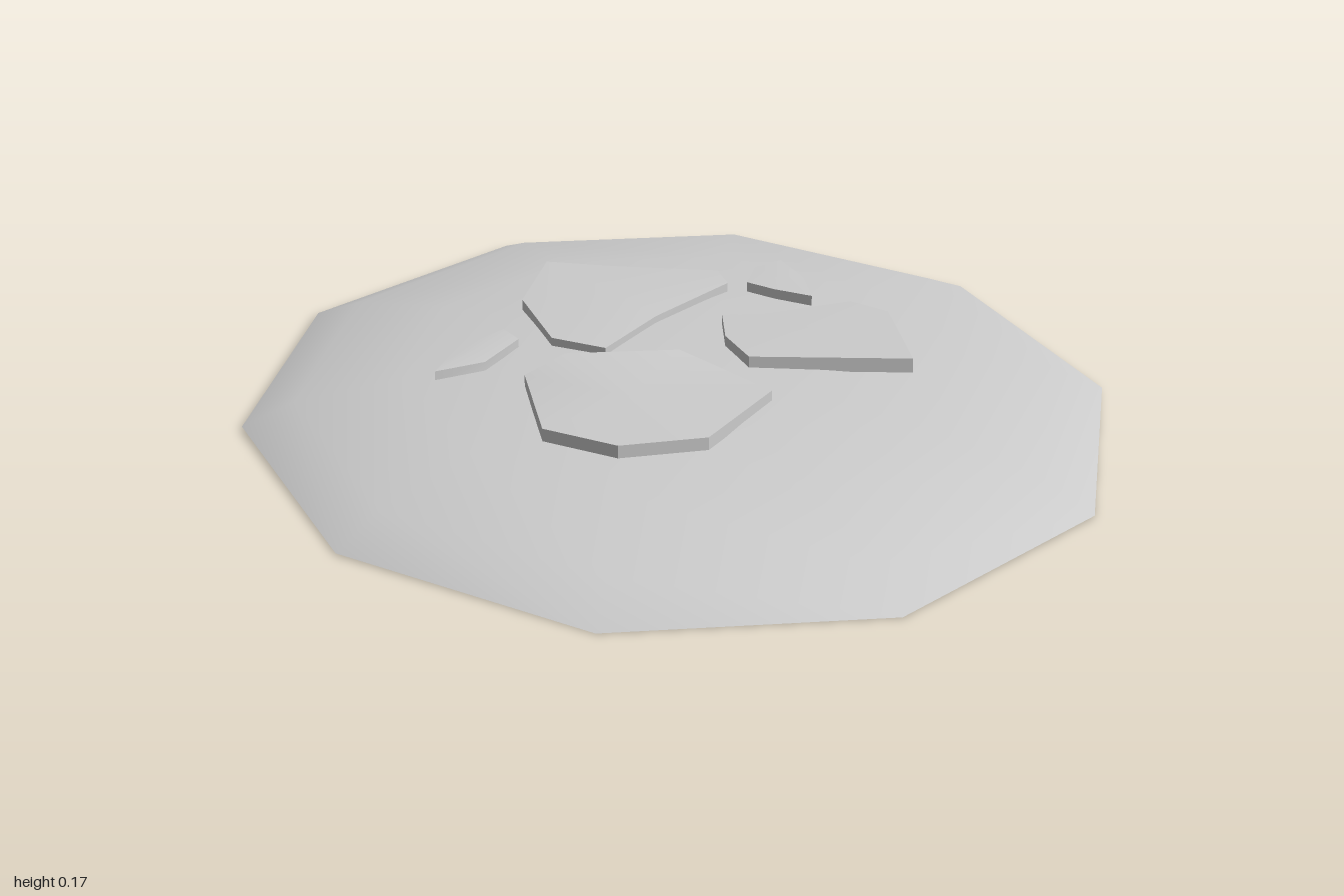
import * as THREE from 'three';
import { mergeVertices, toCreasedNormals } from 'three/addons/utils/BufferGeometryUtils.js';

const material = new THREE.MeshStandardMaterial({ color: 0xcccccc, side: THREE.DoubleSide });

// Shallow ten-sided oval mound, open underneath, rim slightly higher at the back
function createMound() {
  const profile = [[1, 0.0075], [0.88, 0.055], [0.63, 0.094], [0.35, 0.109], [0, 0.115]]
    .map(([r, y]) => new THREE.Vector2(r, y));
  let geometry = new THREE.LatheGeometry(profile, 10, Math.PI / 2);
  geometry.scale(0.855, 1, 1 / Math.sin(Math.PI * 0.4));
  const p = geometry.attributes.position;
  for (let i = 0; i < p.count; i++) p.setY(i, p.getY(i) - 0.0075 * p.getZ(i));
  geometry.deleteAttribute('uv');
  geometry.deleteAttribute('normal');
  geometry = mergeVertices(geometry, 1e-4);
  geometry.computeVertexNormals();
  const mesh = new THREE.Mesh(geometry, material);
  mesh.name = 'mound';
  return mesh;
}

// Irregular flat stone: outline points are [x, z, optional top height]
function createStone({ name, outline, top, bottom, crown }) {
  const n = outline.length;
  const cx = outline.reduce((s, q) => s + q[0], 0) / n;
  const cz = outline.reduce((s, q) => s + q[1], 0) / n;
  const pos = [];
  const index = [];
  for (const [x, z, y = top] of outline) pos.push(x, y, z);
  for (const [x, z] of outline) pos.push(x, bottom, z);
  pos.push(cx, crown, cz, cx, bottom - 0.005, cz);
  for (let i = 0; i < n; i++) {
    const j = (i + 1) % n;
    index.push(2 * n, j, i, i, j, n + j, i, n + j, n + i, 2 * n + 1, n + i, n + j);
  }
  const geometry = new THREE.BufferGeometry();
  geometry.setAttribute('position', new THREE.Float32BufferAttribute(pos, 3));
  geometry.setIndex(index);
  const mesh = new THREE.Mesh(toCreasedNormals(geometry, 0.7), material);
  mesh.name = name;
  return mesh;
}

// Outlines run clockwise as seen from above
const stones = [
  { name: 'backStone', top: 0.127, bottom: 0.103, crown: 0.135,
    outline: [[-0.21, -0.56], [-0.06, -0.51], [0.14, -0.46], [0.15, -0.38], [-0.02, -0.2],
      [-0.14, -0.03], [-0.24, -0.1], [-0.28, -0.33]] },
  { name: 'leftStone', top: 0.134, bottom: 0.105, crown: 0.136,
    outline: [[0.11, -0.17], [0.2, -0.17], [0.38, -0.22], [0.445, -0.15], [0.445, 0.12],
      [0.13, 0.07], [0.1, -0.05]] },
  { name: 'frontStone', top: 0.128, bottom: 0.103, crown: 0.134,
    outline: [[-0.31, 0.1], [-0.23, 0.09, 0.165], [0, 0.02, 0.136], [0.15, 0.24], [0, 0.46],
      [-0.17, 0.48], [-0.3, 0.38]] },
  { name: 'rightChip', top: 0.124, bottom: 0.106, crown: 0.127,
    outline: [[-0.48, 0.05], [-0.45, -0.02], [-0.41, -0.09], [-0.33, -0.17], [-0.305, -0.11],
      [-0.38, 0.01]] },
  { name: 'backChip', top: 0.127, bottom: 0.103, crown: 0.13,
    outline: [[0.28, -0.51], [0.31, -0.4], [0.31, -0.28], [0.24, -0.33], [0.19, -0.38],
      [0.22, -0.47]] },
];

export function createModel() {
  const group = new THREE.Group();
  group.name = 'stoneMound';
  group.add(createMound());
  for (const stone of stones) group.add(createStone(stone));
  return group;
}
